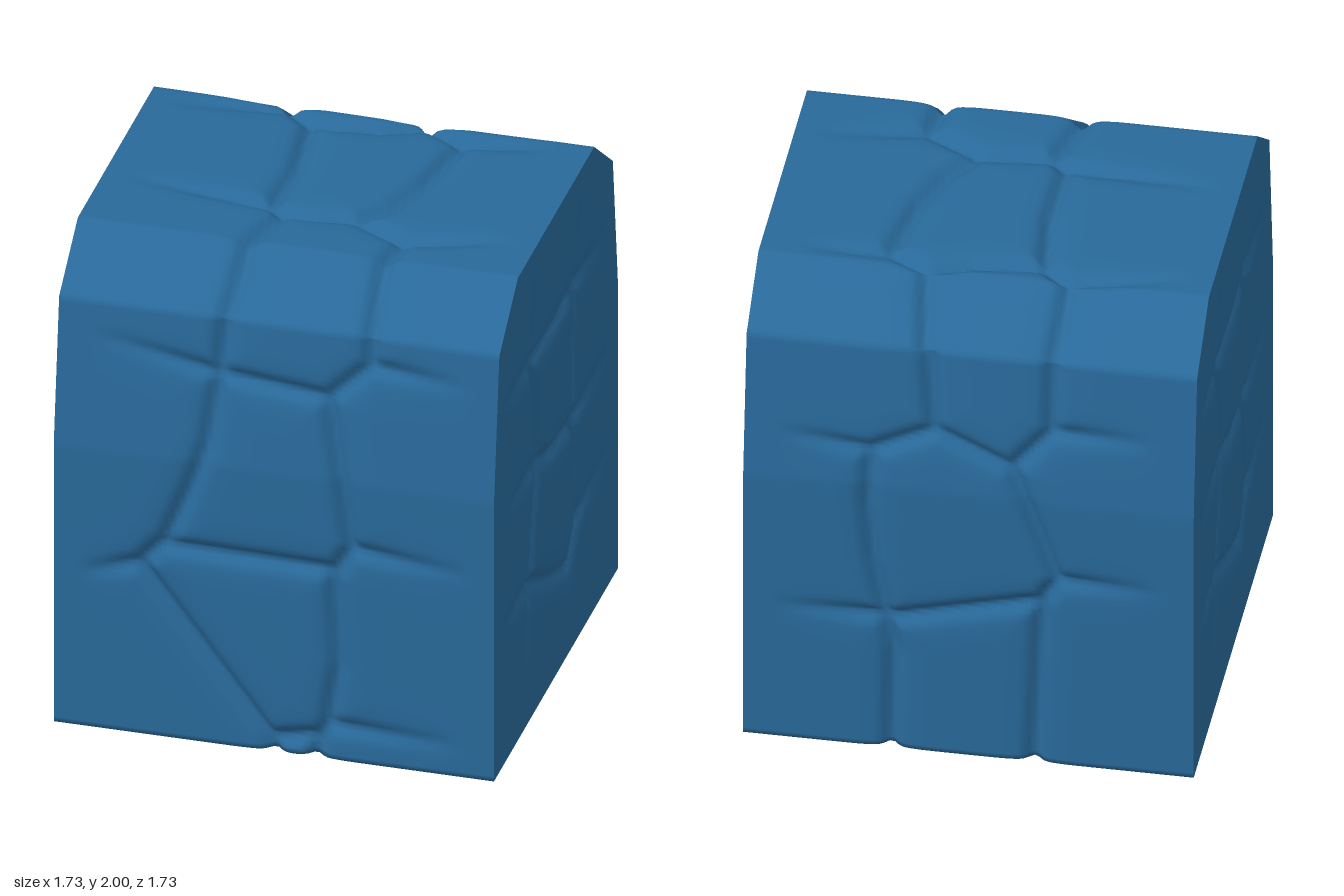
import * as THREE from 'three';

const HALF = 0.865; // half width in x and half depth at the base
const STEP = 0.02;

// Half depth of the block at height y, and height of the upper surface at depth z
function depthAt(y) {
  if (y <= 1.2) return HALF;
  if (y <= 1.8) return HALF - (y - 1.2) / 0.6 * 0.075;
  return 0.79 - (y - 1.8) / 0.2 * 0.26;
}
const heightAt = z => 2 - Math.max(0, Math.abs(z) - 0.53) / 0.26 * 0.2;

// Places flat crack points on each face
const onFront = ([x, y]) => new THREE.Vector3(x, y, depthAt(y));
const onBack = ([x, y]) => new THREE.Vector3(x + 0.04, y, -depthAt(y));
const onTop = ([x, z]) => new THREE.Vector3(x, heightAt(z), z);
const onSide = ([z, y]) => new THREE.Vector3(HALF, y, z);

// Turns polylines into segments; a fading crack vanishes at its last point
function cracks(place, solid, fading) {
  const list = [];
  const add = (line, fade) => {
    const p = line.map(place);
    for (let i = 1; i < p.length; i++) {
      list.push({ a: p[i - 1], b: p[i], sa: 1, sb: fade && i === p.length - 1 ? 0 : 1 });
    }
  };
  solid.forEach(l => add(l, false));
  fading.forEach(l => add(l, true));
  return list;
}

const frontCracks = cracks(onFront, [
  [[0, 0], [-0.02, 0.06], [-0.53, 0.73], [-0.43, 0.84], [-0.34, 1.06], [-0.27, 1.27], [-0.23, 1.57], [-0.21, 1.8], [-0.19, 2]],
  [[-0.02, 0.05], [0.18, 0.09], [0.21, 0.14], [0.25, 0.4], [0.23, 0.79], [0.3, 0.91], [0.26, 1.2], [0.2, 1.53], [0.36, 1.68], [0.36, 1.8], [0.34, 2]],
  [[0.18, 0.09], [0.16, 0]],
  [[-0.43, 0.82], [0.23, 0.81]],
  [[-0.23, 1.57], [0.2, 1.53]],
], [
  [[-0.53, 0.73], [-0.77, 0.66]], [[0.3, 0.91], [0.78, 0.87]], [[0.21, 0.14], [0.75, 0.13]],
  [[-0.23, 1.57], [-0.74, 1.67]], [[0.36, 1.68], [0.75, 1.65]],
]);

const backCracks = cracks(onBack, [
  [[0.26, 0], [0.25, 0.45], [0.28, 0.6], [0.33, 0.85], [0.35, 1.1], [0.34, 1.35], [0.1, 1.46], [0.13, 1.8]],
  [[-0.29, 0], [-0.32, 0.74], [-0.38, 0.84], [-0.26, 1.18], [-0.2, 1.33], [-0.35, 1.5], [-0.35, 1.8]],
  [[0.28, 0.6], [0.23, 0.6], [-0.32, 0.74]],
  [[0.1, 1.46], [-0.2, 1.33]],
], [
  [[0.28, 0.6], [0.72, 0.61]], [[-0.38, 0.84], [-0.78, 0.84]],
  [[0.34, 1.35], [0.7, 1.4]], [[-0.35, 1.5], [-0.75, 1.5]],
]);

const topCracks = cracks(onTop, [
  [[-0.31, -0.79], [-0.33, -0.53], [-0.22, -0.43], [-0.18, -0.1], [-0.19, 0.21], [-0.13, 0.27], [0.15, 0.24],
    [0.25, 0.1], [0.32, -0.1], [0.36, -0.35], [0.38, -0.43], [0.22, -0.53], [0.18, -0.79]],
  [[-0.22, -0.43], [0.05, -0.46], [0.22, -0.53]],
  [[0.15, 0.24], [0.37, 0.36], [0.34, 0.53]],
  [[-0.13, 0.27], [-0.2, 0.53]],
], [
  [[-0.33, -0.52], [-0.78, -0.43]], [[0.38, -0.44], [0.72, -0.47]],
  [[-0.19, 0.22], [-0.78, 0.17]], [[0.37, 0.36], [0.78, 0.26]],
]);

const sideCracks = cracks(onSide, [
  [[0.3, 1.51], [0, 1.5], [-0.29, 1.53], [-0.28, 0.95], [-0.32, 0.5]],
  [[0.3, 1.51], [0.22, 1.04], [0.33, 0.57]],
  [[0.22, 1.04], [0.05, 0.98], [-0.28, 0.95]],
  [[0.33, 0.57], [0, 0.42], [-0.2, 0.36], [-0.32, 0.5]],
], [
  [[0.3, 1.51], [0.75, 1.54]], [[-0.29, 1.53], [-0.7, 1.55]],
  [[0.3, 1.51], [0.28, 1.87]], [[-0.29, 1.53], [-0.34, 1.87]],
  [[0.22, 1.04], [0.75, 1.07]], [[-0.28, 0.95], [-0.77, 1.03]],
  [[0.33, 0.57], [0.75, 0.59]], [[0.33, 0.57], [0.41, 0.25]], [[-0.32, 0.5], [-0.77, 0.61]],
]);

// Groove depth at a surface point: a narrow cut within a shallow hollow
const ab = new THREE.Vector3(), ap = new THREE.Vector3();
function grooveDepth(p, list, cut) {
  let deepest = 0;
  for (const { a, b, sa, sb } of list) {
    ab.subVectors(b, a);
    ap.subVectors(p, a);
    const t = THREE.MathUtils.clamp(ap.dot(ab) / ab.lengthSq(), 0, 1);
    const d2 = ap.addScaledVector(ab, -t).lengthSq();
    if (d2 > 0.04) continue;
    const depth = cut * Math.exp(-d2 / 0.0008) + 0.01 * Math.exp(-d2 / 0.006);
    deepest = Math.max(deepest, depth * (sa + (sb - sa) * t));
  }
  return deepest;
}

// Grid of rows x cols points; closed joins the last row to the first
function gridGeometry(rows, cols, pointAt, closed) {
  const pos = [], index = [];
  for (let i = 0; i < rows; i++) {
    for (let j = 0; j < cols; j++) pos.push(...pointAt(i, j).toArray());
  }
  for (let i = 0; i < (closed ? rows : rows - 1); i++) {
    for (let j = 0; j < cols - 1; j++) {
      const a = i * cols + j, c = ((i + 1) % rows) * cols + j;
      index.push(a, a + 1, c, a + 1, c + 1, c);
    }
  }
  const g = new THREE.BufferGeometry();
  g.setAttribute('position', new THREE.Float32BufferAttribute(pos, 3));
  g.setIndex(index);
  g.computeVertexNormals();
  return g;
}

// Front, bevels, top, back and underside as one band
function shellGeometry() {
  const corners = [[HALF, 0], [HALF, 1.2], [0.79, 1.8], [0.53, 2], [-0.53, 2], [-0.79, 1.8], [-HALF, 1.2], [-HALF, 0]]
    .map(([z, y]) => new THREE.Vector2(z, y));
  const path = [corners[0]];
  for (let k = 1; k < corners.length; k++) {
    const n = Math.ceil(corners[k].distanceTo(corners[k - 1]) / STEP);
    for (let i = 1; i <= n; i++) path.push(corners[k - 1].clone().lerp(corners[k], i / n));
  }
  const list = [...frontCracks, ...backCracks, ...topCracks];
  const cols = 88;
  return gridGeometry(path.length, cols, (i, j) => {
    const before = path[Math.max(i - 1, 0)], after = path[Math.min(i + 1, path.length - 1)];
    const along = after.clone().sub(before).normalize();
    const normal = new THREE.Vector3(0, -along.x, along.y);
    const p = new THREE.Vector3((j / (cols - 1) * 2 - 1) * HALF, path[i].y, path[i].x);
    const inner = j > 0 && j < cols - 1;
    return p.addScaledVector(normal, inner ? -grooveDepth(p, list, 0.035) : 0);
  }, true);
}

function sideGeometry() {
  const rows = 101, cols = 88;
  return gridGeometry(rows, cols, (i, j) => {
    const y = i / (rows - 1) * 2;
    const p = new THREE.Vector3(HALF, y, (1 - j / (cols - 1) * 2) * depthAt(y));
    const inner = i > 0 && i < rows - 1 && j > 0 && j < cols - 1;
    if (inner) p.x -= grooveDepth(p, sideCracks, 0.025);
    return p;
  }, false);
}

export function createModel() {
  const stone = new THREE.MeshStandardMaterial({ color: 0x28699a });
  stone.name = 'blue stone';
  const group = new THREE.Group();
  group.name = 'crackedStoneBlock';

  const shell = new THREE.Mesh(shellGeometry(), stone);
  shell.name = 'blockShell';
  group.add(shell);

  // The two end faces share one pattern, turned half way round
  const side = sideGeometry();
  ['leftFace', 'rightFace'].forEach((name, i) => {
    const face = new THREE.Mesh(side, stone);
    face.name = name;
    face.rotation.y = i * Math.PI;
    group.add(face);
  });
  return group;
}
